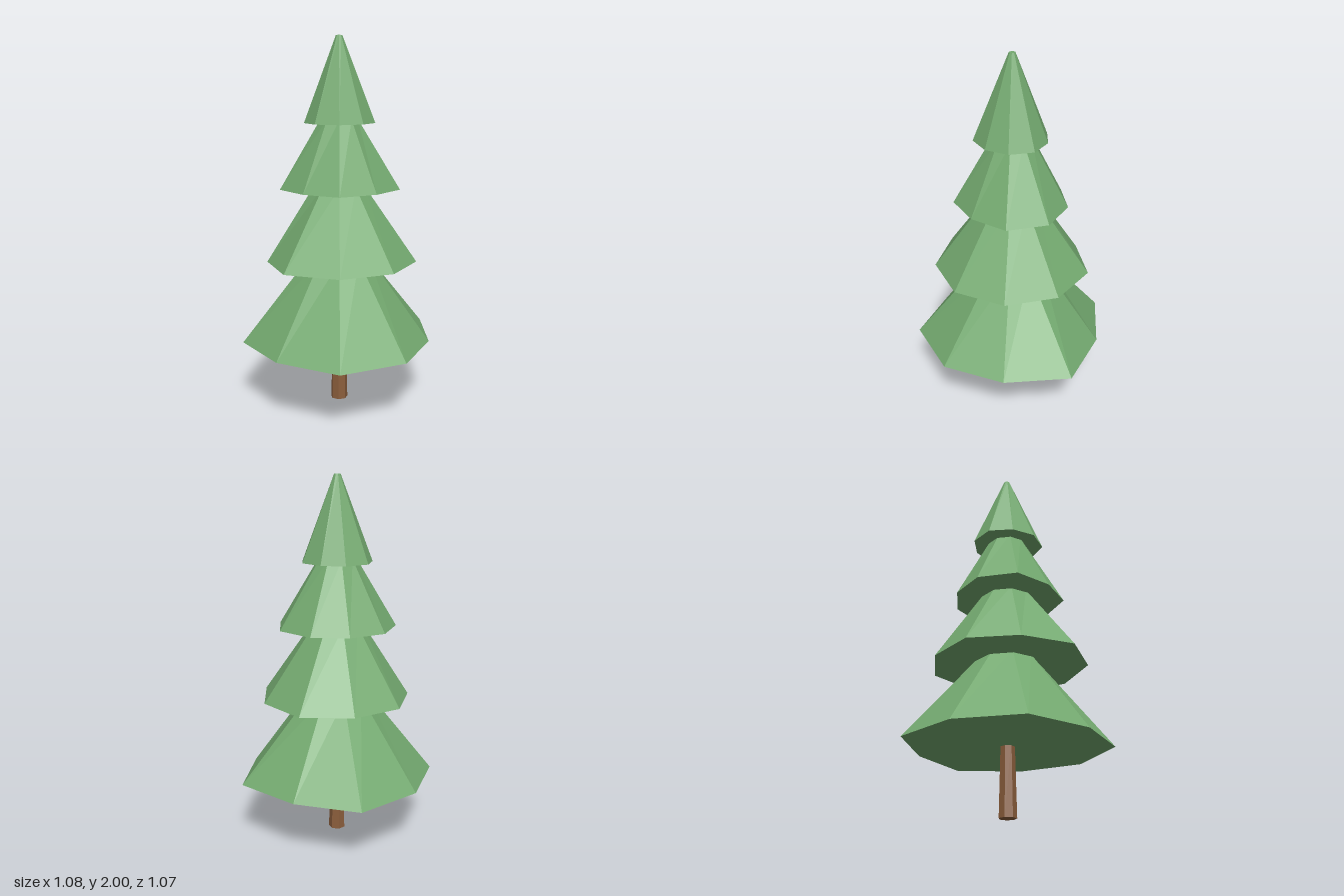
import * as THREE from 'three';

const SIDES = 9;

// Each tier: base height, top height, top radius, and one rim radius per corner (from the back, towards +x)
const TIERS = [
  { y0: 0.36, y1: 0.83, top: 0.162, rim: [0.554, 0.499, 0.561, 0.5, 0.526, 0.55, 0.504, 0.535, 0.525] },
  { y0: 0.81, y1: 1.22, top: 0.134, rim: [0.4, 0.427, 0.423, 0.422, 0.427, 0.432, 0.44, 0.394, 0.41] },
  { y0: 1.2, y1: 1.57, top: 0.1, rim: [0.29, 0.302, 0.327, 0.328, 0.295, 0.315, 0.29, 0.32, 0.31] },
  { y0: 1.55, y1: 2, top: 0.017, rim: [0.197, 0.187, 0.197, 0.193, 0.191, 0.203, 0.196, 0.188, 0.2] },
];

// Faceted cone whose lower rim corners are pushed to uneven radii
function tierGeometry({ y0, y1, top, rim }) {
  const h = y1 - y0;
  const geo = new THREE.CylinderGeometry(top, 1, h, SIDES, 1, false, Math.PI);
  const p = geo.attributes.position;
  for (let i = 0; i < p.count; i++) {
    const x = p.getX(i), z = p.getZ(i);
    if (p.getY(i) > 0 || Math.hypot(x, z) < 0.5) continue;
    const k = Math.round((Math.PI - Math.atan2(x, z)) / (2 * Math.PI / SIDES)) % SIDES;
    p.setX(i, x * rim[k]);
    p.setZ(i, z * rim[k]);
  }
  geo.translate(0, y0 + h / 2, 0);
  const flat = geo.toNonIndexed();
  flat.computeVertexNormals();
  return flat;
}

export function createModel() {
  const foliage = new THREE.MeshStandardMaterial({ color: 0x74aa70, flatShading: true });
  foliage.name = 'foliage green';
  const bark = new THREE.MeshStandardMaterial({ color: 0x8b5e3c, flatShading: true });
  bark.name = 'bark brown';

  const tree = new THREE.Group();
  tree.name = 'pineTree';
  // The uneven rims put the trunk axis slightly off centre
  tree.position.set(-0.016, 0, 0.014);

  // Trunk
  const trunk = new THREE.Mesh(new THREE.CylinderGeometry(0.037, 0.047, 0.4, 7, 1, false, Math.PI), bark);
  trunk.name = 'trunk';
  trunk.position.y = 0.2;
  tree.add(trunk);

  // Foliage tiers
  TIERS.forEach((tier, i) => {
    const mesh = new THREE.Mesh(tierGeometry(tier), foliage);
    mesh.name = `foliageTier${i + 1}`;
    tree.add(mesh);
  });

  const model = new THREE.Group();
  model.name = 'tree';
  model.add(tree);
  return model;
}
